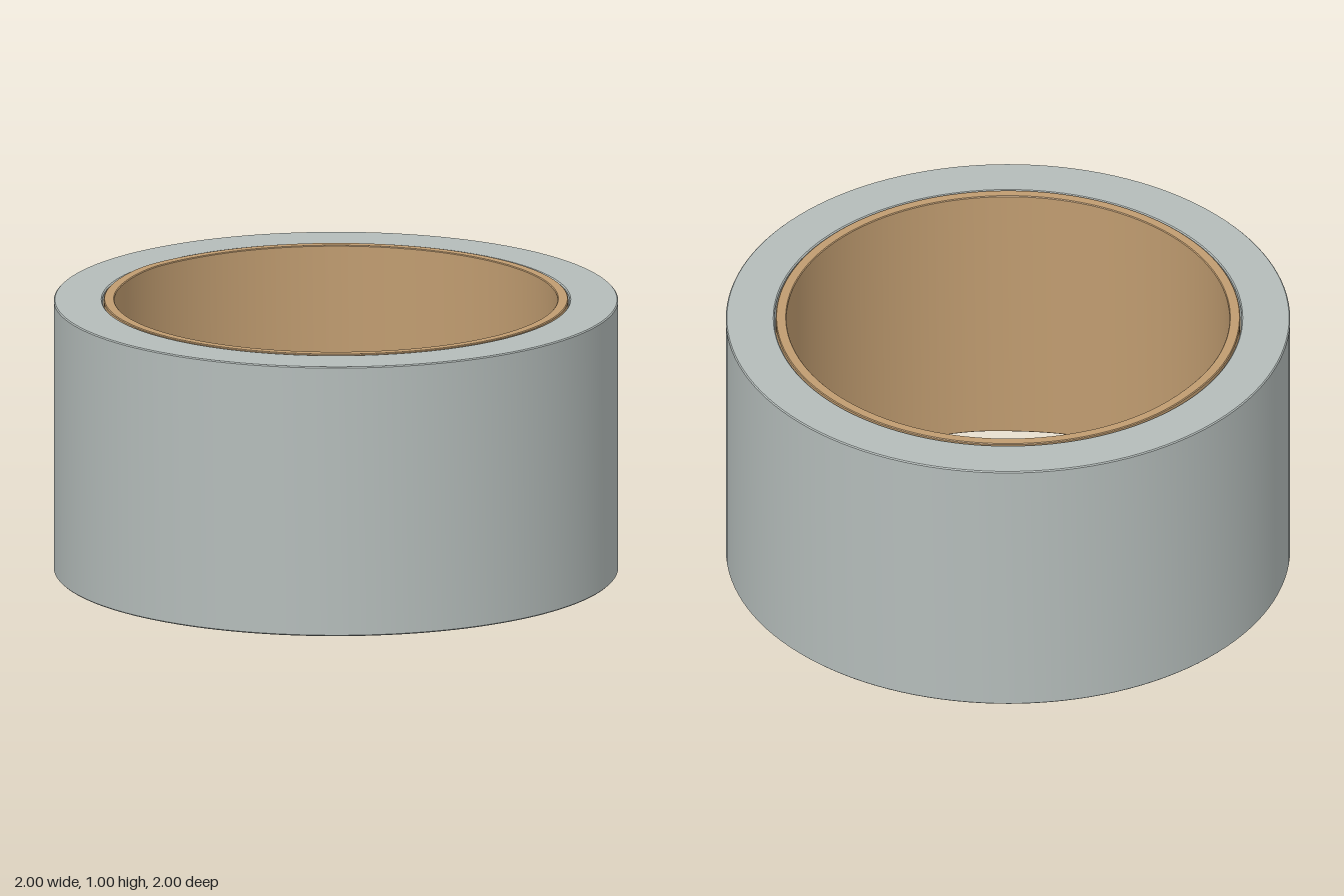
import * as THREE from 'three';
import { toCreasedNormals } from 'three/addons/utils/BufferGeometryUtils.js';

const SEGMENTS = 128;

// Closed ring with a rectangular section and small chamfers at its corners
function ring(inner, outer, bottom, top, c) {
  const profile = [
    [outer - c, bottom], [outer, bottom + c], [outer, top - c], [outer - c, top],
    [inner + c, top], [inner, top - c], [inner, bottom + c], [inner + c, bottom],
    [outer - c, bottom],
  ].map(([x, y]) => new THREE.Vector2(x, y));
  return new THREE.LatheGeometry(profile, SEGMENTS);
}

// Soft bump around one direction of the rim, in the range 0 to 1
function bump(x, z, angle, width) {
  const d = Math.atan2(z, x) - angle;
  const a = Math.atan2(Math.sin(d), Math.cos(d)) / width;
  return Math.exp(-a * a);
}

function addPart(group, name, geometry, color) {
  const material = new THREE.MeshStandardMaterial({ color });
  const mesh = new THREE.Mesh(toCreasedNormals(geometry, Math.PI / 6), material);
  mesh.name = name;
  group.add(mesh);
}

export function createModel() {
  const group = new THREE.Group();
  group.name = 'tapeRoll';

  // Wound tape
  addPart(group, 'tape', ring(0.828, 1, 0.011, 0.994, 0.004), 0xb4bcba);

  // Cardboard core, its cut rims very slightly uneven
  const core = ring(0.785, 0.823, 0.006, 0.997, 0.003);
  const p = core.attributes.position;
  for (let i = 0; i < p.count; i++) {
    const x = p.getX(i), y = p.getY(i), z = p.getZ(i);
    const lift = y > 0.5
      ? 0.004 * bump(x, z, Math.atan2(-0.3, -0.75), 0.2)
      : -0.006 * bump(x, z, Math.atan2(0.8, 0.15), 0.2);
    p.setY(i, y + lift);
  }
  addPart(group, 'core', core, 0xc09c70);

  return group;
}
